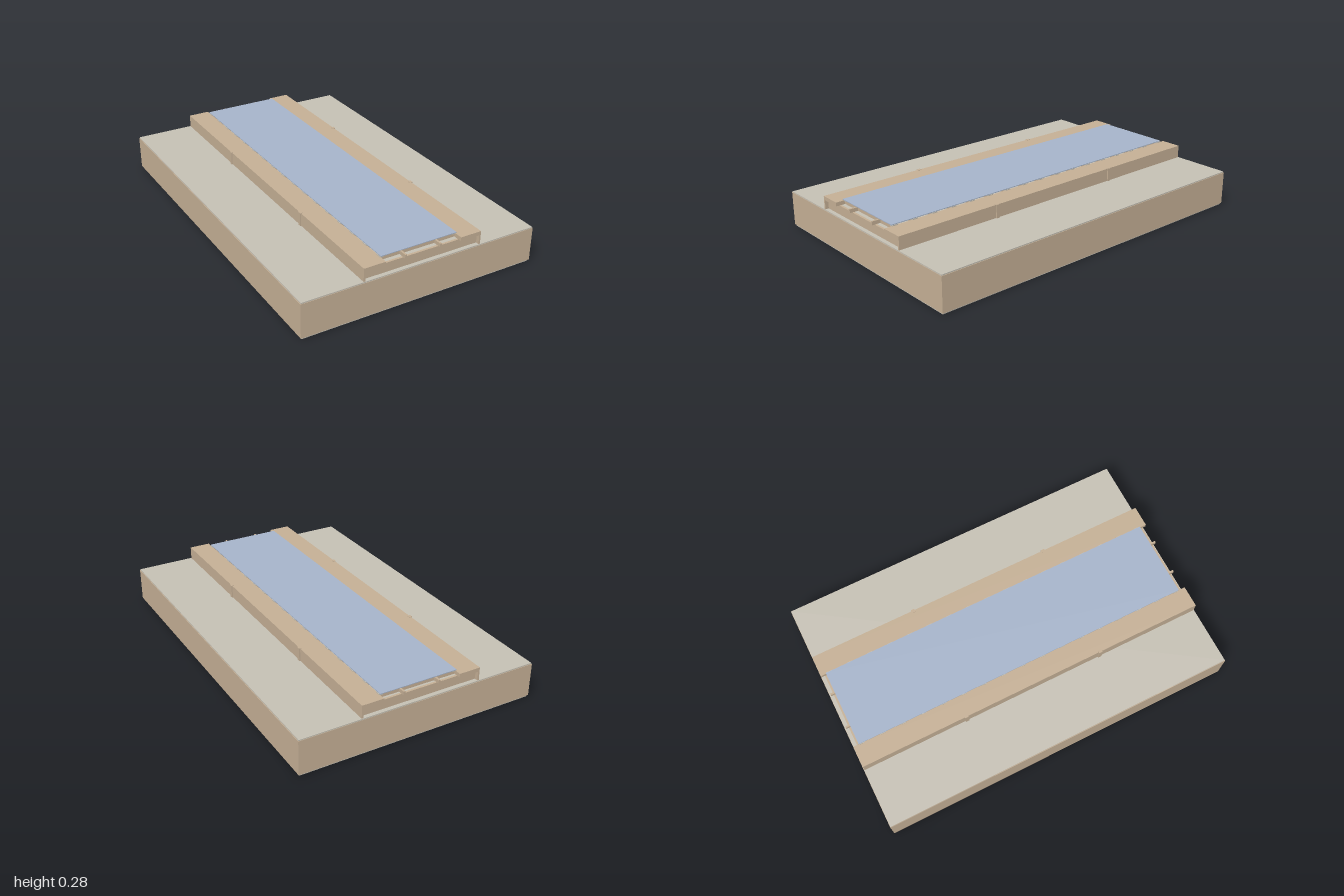
import * as THREE from 'three';

const material = (name, color) => new THREE.MeshStandardMaterial({ name, color });

export function createModel() {
  const model = new THREE.Group();
  model.name = 'hallWithRoofMonitor';
  const tan = material('tan cladding', 0xc4af95);
  const grey = material('grey roofing', 0xc5c0b4);
  const blue = material('blue glazing', 0xa6b4ca);

  // Box given by its lower and upper limits on each axis
  function box(name, mat, [x0, x1], [y0, y1], [z0, z1], parent = model) {
    const mesh = new THREE.Mesh(new THREE.BoxGeometry(x1 - x0, y1 - y0, z1 - z0), mat);
    mesh.name = name;
    mesh.position.set((x0 + x1) / 2, (y0 + y1) / 2, (z0 + z1) / 2);
    parent.add(mesh);
    return mesh;
  }

  // Main hall: floor plate, walls and flat roof
  box('floorPlate', grey, [-0.66, 0.66], [0, 0.008], [-0.995, 0.995]);
  box('hallWalls', tan, [-0.667, 0.667], [0.008, 0.194], [-1, 1]);
  box('flatRoof', grey, [-0.664, 0.664], [0.194, 0.2], [-0.998, 0.998]);

  // Raised monitor: mirrored side walls, roof strips, kerbs and downpipes
  const monitor = new THREE.Group();
  monitor.name = 'roofMonitor';
  model.add(monitor);
  for (const s of [-1, 1]) {
    const span = (a, b) => (s > 0 ? [a, b] : [-b, -a]);
    box('monitorSideWall', tan, span(0.326, 0.335), [0.2, 0.27], [-0.995, 0.995], monitor);
    box('monitorRoofStrip', tan, span(0.215, 0.335), [0.25, 0.271], [-0.995, 0.995], monitor);
    box('glazingBeam', tan, span(0.095, 0.105), [0.25, 0.27], [-0.99, 0.99], monitor);
    for (const z of [-0.4, 0.4]) {
      box('downpipe', tan, span(0.323, 0.341), [0.2, 0.273], [z - 0.01, z + 0.01], monitor);
    }
    // End walls sit slightly back under the strips
    const z = s * 0.97;
    box('monitorEndWall', tan, [-0.33, 0.33], [0.2, 0.25], [z - 0.006, z + 0.006], monitor);
  }

  // Ribs carrying the glazing
  for (let i = 0; i < 17; i++) {
    const z = -0.945 + i * 0.1175;
    box('glazingRib', tan, [-0.215, 0.215], [0.25, 0.27], [z - 0.008, z + 0.008], monitor);
    for (const x of [-0.21, 0.21]) {
      box('glazingClip', grey, [x - 0.01, x + 0.01], [0.268, 0.276], [z - 0.015, z + 0.015], monitor);
    }
  }

  // Long glass sheet
  box('glassSheet', blue, [-0.217, 0.217], [0.276, 0.28], [-0.965, 0.955], monitor);
  return model;
}
